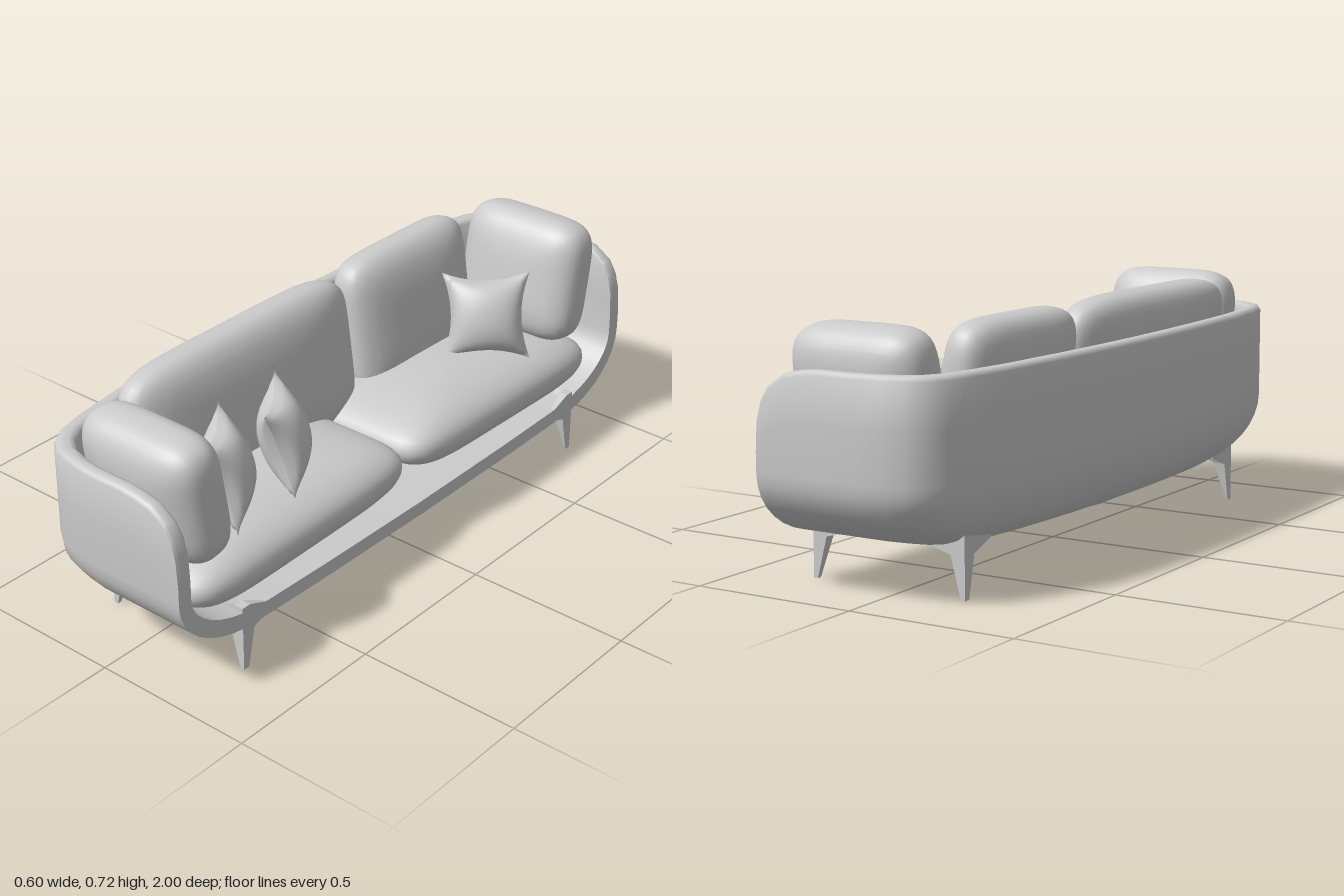
import * as THREE from 'three';
import { mergeVertices, mergeGeometries, toCreasedNormals } from 'three/addons/utils/BufferGeometryUtils.js';

const material = new THREE.MeshStandardMaterial({ color: 0xcccccc, roughness: 0.8 });

function addMesh(parent, name, geometry) {
  const mesh = new THREE.Mesh(geometry, material);
  mesh.name = name;
  parent.add(mesh);
  return mesh;
}

function indexed(points, index) {
  const geometry = new THREE.BufferGeometry().setFromPoints(points);
  geometry.setIndex(index);
  return geometry;
}

function forEachVertex(geometry, rule) {
  const p = geometry.attributes.position;
  const v = new THREE.Vector3();
  for (let i = 0; i < p.count; i++) {
    rule(v.fromBufferAttribute(p, i));
    p.setXYZ(i, v.x, v.y, v.z);
  }
}

// Wraparound shell: one wall section swept round a U-shaped plan
function shellGeometry() {
  const front = 0.295, depth = 0.595, wall = 0.045;
  // half plan: x, z, rim height
  const half = [
    [0.295, 1, 0.4], [0.29, 1, 0.48], [0.277, 1, 0.53], [0.255, 1, 0.565], [0.2, 1, 0.6],
    [0.15, 1, 0.61], [0.1, 1, 0.615], [-0.03, 1, 0.615], [-0.1, 0.99, 0.615], [-0.16, 0.973, 0.615],
    [-0.205, 0.94, 0.615], [-0.235, 0.89, 0.615], [-0.255, 0.8, 0.615], [-0.275, 0.65, 0.615],
    [-0.29, 0.4, 0.615], [-0.297, 0.2, 0.615], [-0.3, 0, 0.615],
  ];
  const plan = [...half, ...half.slice(0, -1).reverse().map(([x, z, h]) => [x, -z, h])];
  const arcSteps = 9;

  // one side of the wall, from the middle of the floor up to the rim
  function side([x, z, h], inset, lift) {
    const at = (dx, dz, y) => new THREE.Vector3(
      front + (x - front) * (1 - (inset + dx) / depth), y, z * (1 - inset - dz));
    const rows = [at(0.13, 1 - inset, 0.12 + lift), at(0.13, 0.55, 0.124 + lift)];
    for (let k = 0; k <= arcSteps; k++) {
      const a = (1 - k / arcSteps) * Math.PI / 2;
      const s = 1 - Math.cos(a);
      rows.push(at(0.13 * s, 0.3 * s, 0.33 - 0.2 * Math.sin(a) + lift * Math.sin(a)));
    }
    rows.push(at(0, 0, (h + 0.33) / 2), at(0, 0, h - 0.014));
    const shift = inset ? -0.005 : 0.005, roll = inset ? -0.014 : 0.014;
    rows.push(at(shift, shift, h - 0.004), at(roll, roll, h));
    return rows;
  }

  const sections = plan.map(c => [...side(c, 0, 0), ...side(c, wall, wall).reverse()]);
  const m = sections[0].length, last = plan.length - 1;
  const index = [];
  for (let i = 0; i < last; i++) {
    for (let j = 0; j < m - 1; j++) {
      const a = i * m + j, c = a + m;
      index.push(a, a + 1, c, a + 1, c + 1, c);
    }
  }
  // front edges of the wall and floor
  for (let j = 0; j < m / 2 - 1; j++) {
    const k = m - 1 - j, e = last * m;
    index.push(j, k, k - 1, j, k - 1, j + 1);
    index.push(e + j, e + k - 1, e + k, e + j, e + j + 1, e + k - 1);
  }
  return toCreasedNormals(indexed(sections.flat(), index), 0.8);
}

// Stuffed cushion: squarish outline (edge) with a rounder thickness (puff) along y
function cushionGeometry(width, thickness, length, edge, puff) {
  let geometry = new THREE.BoxGeometry(2, 2, 2, 20, 12, 24);
  geometry.deleteAttribute('uv');
  geometry.deleteAttribute('normal');
  geometry = mergeVertices(geometry);
  forEachVertex(geometry, v => {
    const outline = Math.pow(Math.abs(v.x) ** edge + Math.abs(v.z) ** edge, puff / edge);
    v.divideScalar(Math.pow(outline + Math.abs(v.y) ** puff, 1 / puff));
    v.set(v.x * width / 2, v.y * thickness / 2, v.z * length / 2);
  });
  geometry.computeVertexNormals();
  return geometry;
}

// Throw pillow: two bulging sheets meeting in a seam with pulled-out corners
function pillowGeometry(size, thickness) {
  const sheet = new THREE.PlaneGeometry(2, 2, 20, 20);
  forEachVertex(sheet, v => {
    const { x, y } = v;
    const a = 1 - x * x, b = 1 - y * y;
    const ripple = 1 + 0.08 * Math.sin(5 * x + 3 * y) * (x * x + y * y) / 2;
    v.set(
      x * (1 - 0.2 * b * x * x) * size / 2,
      y * (1 - 0.2 * a * y * y) * size / 2,
      Math.pow(Math.max(a * b, 0), 0.6) * ripple * thickness / 2);
  });
  sheet.computeVertexNormals();
  return mergeGeometries([sheet, sheet.clone().rotateY(Math.PI)]);
}

// Leg: square tapered foot spreading into two pointed brackets
function legGeometry(sx, sz) {
  // height, bracket reach along x and z, inner corner
  const rows = [
    [0, 0.013, 0.02, 0.013], [0.12, 0.045, 0.045, 0.04], [0.148, 0.15, 0.125, 0.05],
    [0.163, 0.15, 0.125, 0.05], [0.2, 0.03, 0.03, 0.03],
  ];
  const points = rows.flatMap(([y, x, z, c]) =>
    [[0, 0], [x, 0], [c, c], [0, z]].map(([px, pz]) => new THREE.Vector3(px * sx, y, pz * sz)));
  const index = [0, 1, 2, 0, 2, 3];
  for (let r = 0; r < rows.length - 1; r++) {
    for (let k = 0; k < 4; k++) {
      const a = r * 4 + k, b = r * 4 + (k + 1) % 4;
      index.push(a, a + 4, b, b, a + 4, b + 4);
    }
  }
  const t = (rows.length - 1) * 4;
  index.push(t, t + 2, t + 1, t, t + 3, t + 2);
  if (sx * sz < 0) index.reverse();
  const geometry = indexed(points, index).toNonIndexed();
  geometry.computeVertexNormals();
  return geometry;
}

export function createModel() {
  const sofa = new THREE.Group();
  sofa.name = 'sofa';
  addMesh(sofa, 'shell', shellGeometry());

  // Seat and arm cushions and legs, mirrored end to end
  const seat = cushionGeometry(0.51, 0.215, 0.91, 6, 2.3);
  const arm = cushionGeometry(0.42, 0.21, 0.39, 5, 2.8);
  for (const s of [1, -1]) {
    const end = s > 0 ? 'left' : 'right';
    const seatCushion = addMesh(sofa, end + 'SeatCushion', seat);
    seatCushion.position.set(0.035, 0.278, s * 0.455);
    seatCushion.rotation.x = s * 0.02;

    const armCushion = addMesh(sofa, end + 'ArmCushion', arm);
    armCushion.position.set(0.055, 0.53, s * 0.825);
    armCushion.rotation.x = s * (Math.PI / 2 + 0.17);

    addMesh(sofa, end + 'FrontLeg', legGeometry(-1, -s)).position.set(0.295, 0, s * 0.765);
    addMesh(sofa, end + 'BackLeg', legGeometry(1, -s)).position.set(-0.2, 0, s * 0.765);
  }

  // Back cushions, one wide and one narrow, leaning back
  for (const [name, z, length] of [['wideBackCushion', 0.3, 0.9], ['narrowBackCushion', -0.435, 0.55]]) {
    const back = addMesh(sofa, name, cushionGeometry(0.45, 0.18, length, 6, 2.8));
    back.position.set(-0.12, 0.5, z);
    back.rotation.z = Math.PI / 2 + 0.14;
  }

  // Throw pillows: position along z, facing angle
  const pillow = pillowGeometry(0.27, 0.14);
  [[0.6, 2.2], [0.37, 2.2], [-0.56, 0.75]].forEach(([z, turn], i) => {
    const mesh = addMesh(sofa, 'throwPillow' + (i + 1), pillow);
    mesh.position.set(0.1, 0.485, z);
    mesh.rotation.set(-0.3, turn, 0, 'YXZ');
  });
  return sofa;
}
